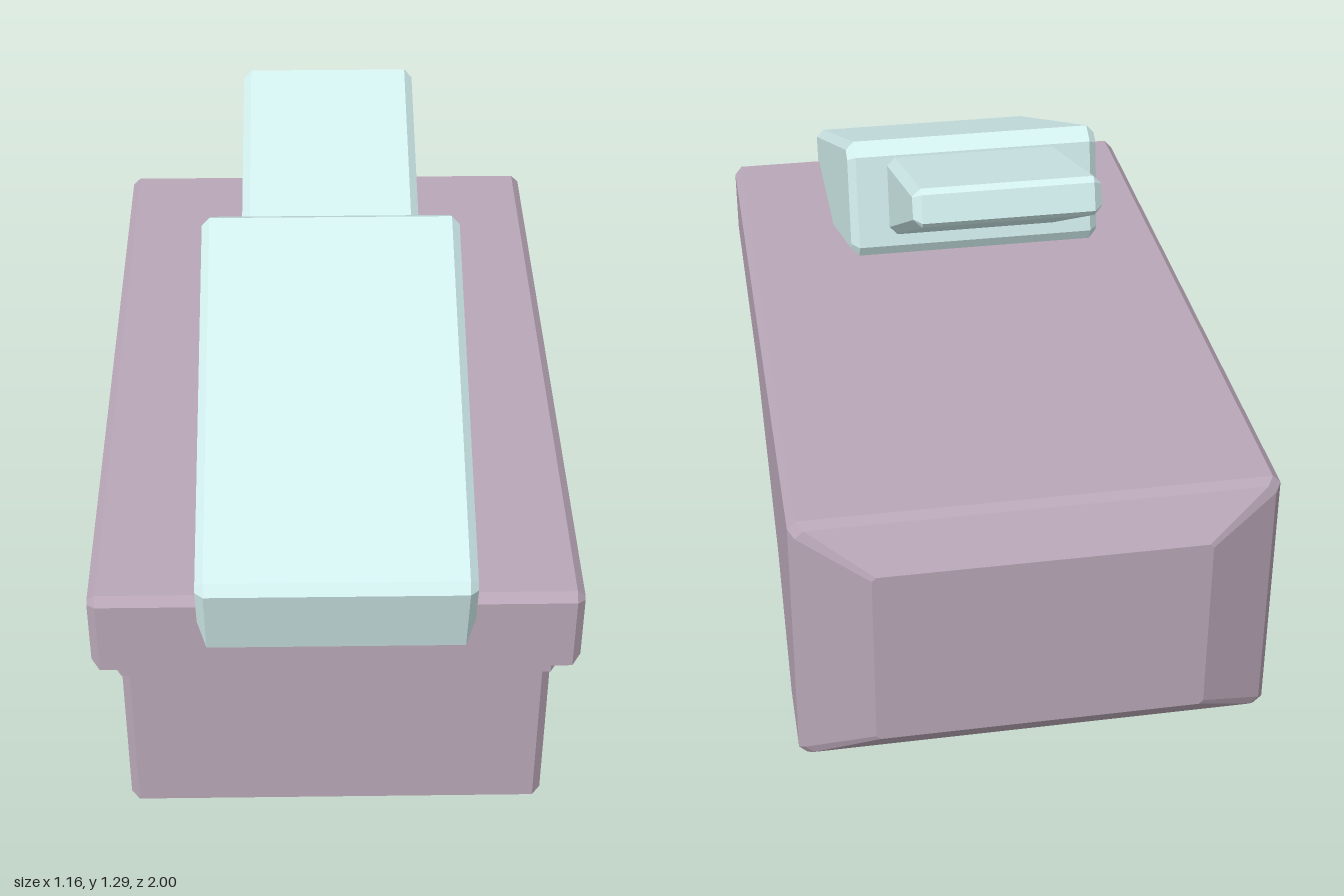
import * as THREE from 'three';

const mauve = new THREE.MeshStandardMaterial({ color: 0xb9a7b7, flatShading: true });
const teal = new THREE.MeshStandardMaterial({ color: 0xd2efee, flatShading: true });

// Side outline of [z, y] points, extruded across x with chamfered side edges
function slab(name, outline, halfWidth, bevel, material) {
  const shape = new THREE.Shape(outline.map(([z, y]) => new THREE.Vector2(z, y)));
  const depth = 2 * (halfWidth - bevel);
  const geo = new THREE.ExtrudeGeometry(shape, {
    depth, bevelEnabled: true, bevelThickness: bevel, bevelSize: bevel,
    bevelOffset: -bevel, bevelSegments: 1,
  });
  geo.translate(0, 0, -depth / 2).rotateY(-Math.PI / 2);
  const mesh = new THREE.Mesh(geo, material);
  mesh.name = name;
  return mesh;
}

// Tapered end block lofted through chamfered rectangles [z, halfWidth, bottom, top, chamfer]
function taperedEnd(name, rings, material) {
  const pos = [], index = [];
  for (const [z, w, b, t, c] of rings) {
    pos.push(w, b + c, z, w, t - c, z, w - c, t, z, c - w, t, z,
      -w, t - c, z, -w, b + c, z, c - w, b, z, w - c, b, z);
  }
  for (let r = 0; r < rings.length - 1; r++) {
    for (let i = 0; i < 8; i++) {
      const a = r * 8 + i, b = r * 8 + (i + 1) % 8;
      index.push(a, a + 8, b, b, a + 8, b + 8);
    }
  }
  const last = (rings.length - 1) * 8;
  for (let i = 1; i < 7; i++) index.push(last, last + i + 1, last + i);
  const geo = new THREE.BufferGeometry();
  geo.setAttribute('position', new THREE.Float32BufferAttribute(pos, 3));
  geo.setIndex(index);
  const flat = geo.toNonIndexed();
  flat.computeVertexNormals();
  const mesh = new THREE.Mesh(flat, material);
  mesh.name = name;
  return mesh;
}

export function createModel() {
  const model = new THREE.Group();
  model.name = 'leverBox';

  // Body: wide upper shell, a sloped step beneath it, and the narrower core
  const body = new THREE.Group();
  body.name = 'body';
  body.add(
    slab('upperShell', [
      [0.93, 0.69], [-0.9, 0.69], [-0.9, 0], [-0.69, 0],
      [-0.4, 0.23], [0.17, 0.43], [0.95, 0.47], [0.95, 0.67],
    ], 0.58, 0.02, mauve),
    slab('shellStep', [
      [0.95, 0.6], [-0.85, 0.6], [-0.85, 0], [-0.66, 0],
      [-0.39, 0.21], [0.17, 0.41], [0.95, 0.45],
    ], 0.53, 0.02, mauve),
    slab('core', [
      [0.95, 0.6], [-0.85, 0.6], [-0.85, 0], [0.93, 0], [0.95, 0.02],
    ], 0.51, 0.02, mauve),
    taperedEnd('backEnd', [
      [-0.87, 0.58, 0, 0.69, 0.02],
      [-0.905, 0.58, 0, 0.69, 0.02],
      [-0.925, 0.565, 0.015, 0.675, 0.02],
      [-1, 0.4, 0.1, 0.58, 0.01],
    ], mauve),
  );

  // Lever: thick tilted block and a tapering handle
  const lever = new THREE.Group();
  lever.name = 'lever';
  lever.add(
    slab('leverBlock', [
      [0.98, 0.77], [0.06, 1.165], [0.015, 1.14], [-0.025, 0.9],
      [-0.01, 0.87], [0.93, 0.51], [0.945, 0.52], [1, 0.745],
    ], 0.325, 0.02, teal),
    slab('leverHandle', [
      [0.1, 1.105], [0.01, 1.135], [-0.475, 1.29], [-0.49, 1.28],
      [-0.51, 1.215], [-0.5, 1.2], [-0.02, 0.93], [0.1, 0.9],
    ], 0.225, 0.02, teal),
  );

  model.add(body, lever);
  return model;
}
